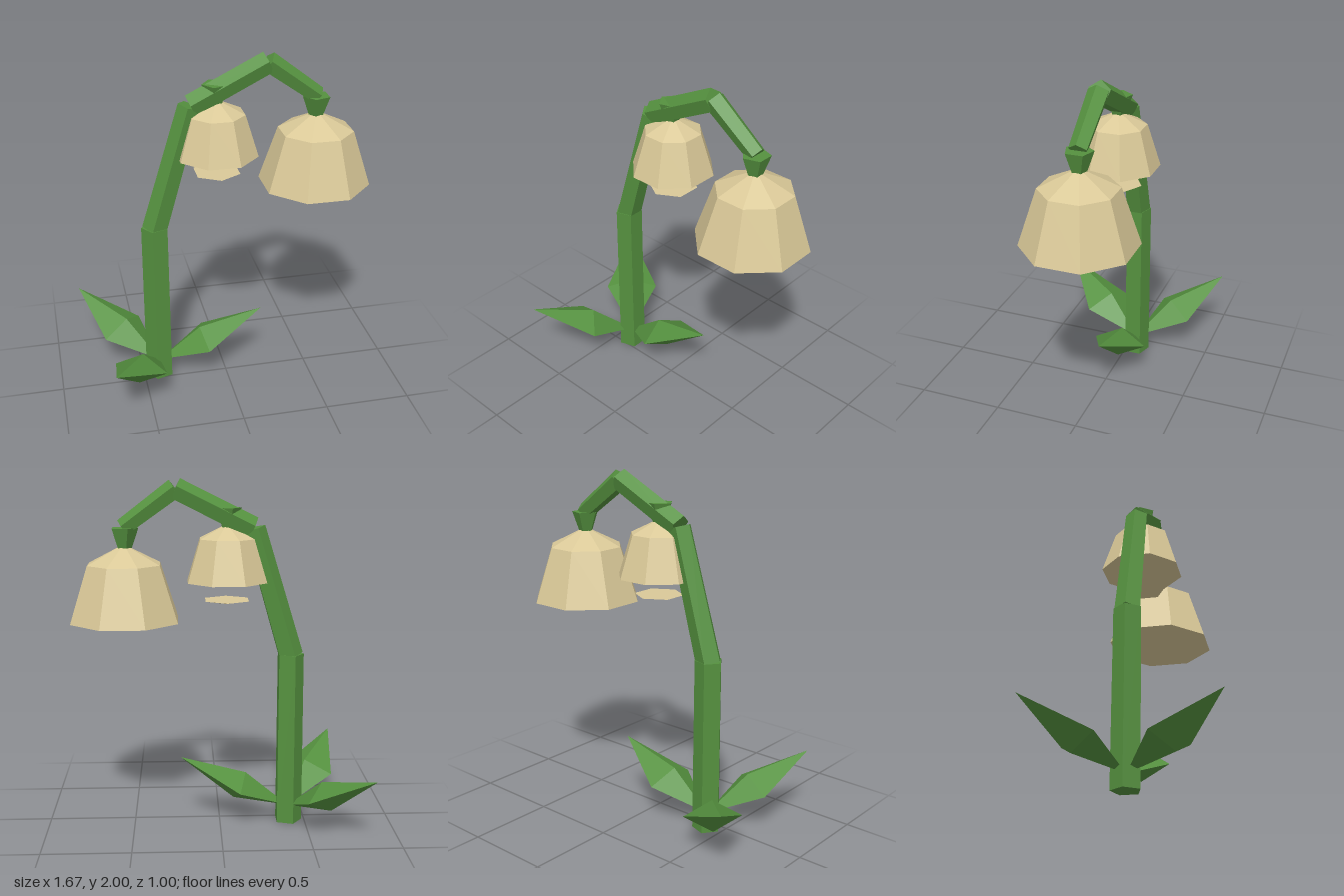
import * as THREE from 'three';

const green = new THREE.MeshStandardMaterial({ color: 0x55913f });
green.name = 'leaf green';
const cream = new THREE.MeshStandardMaterial({ color: 0xdac998 });
cream.name = 'petal cream';

const Z = -0.058; // plane the stem bends in

function mesh(name, geometry, material) {
  const geo = geometry.index ? geometry.toNonIndexed() : geometry;
  geo.computeVertexNormals(); // flat facets
  const m = new THREE.Mesh(geo, material);
  m.name = name;
  return m;
}

// Five-sided tapered prism between two points, with a ridge on its outer side
function segment(name, [x0, y0, r0], [x1, y1, r1]) {
  const dx = x1 - x0, dy = y1 - y0;
  const m = mesh(name, new THREE.CylinderGeometry(r1, r0, Math.hypot(dx, dy), 5, 1, false, -Math.PI / 2), green);
  m.position.set((x0 + x1) / 2, (y0 + y1) / 2, Z);
  m.rotation.z = Math.atan2(dy, dx) - Math.PI / 2;
  return m;
}

// Eight-sided closed bell with a flat side to the front: [radius, y] from bottom to top
function bell(name, x, profile) {
  const points = profile.map(([r, y]) => new THREE.Vector2(r, y));
  const m = mesh(name, new THREE.LatheGeometry(points, 8, Math.PI / 8), cream);
  m.position.set(x, 0, Z);
  return m;
}

// Stretched octahedron: base, tip, upper ridge, keel and two side corners
function leaf(angle) {
  const geo = new THREE.OctahedronGeometry(1);
  const p = geo.attributes.position;
  for (let i = 0; i < p.count; i++) {
    const x = p.getX(i), y = p.getY(i), z = p.getZ(i);
    if (x > 0.5) p.setXYZ(i, 0.63, 0.39, 0);
    else if (x < -0.5) p.setXYZ(i, 0, 0.09, 0);
    else if (y > 0.5) p.setXYZ(i, 0.25, 0.295, 0);
    else if (y < -0.5) p.setXYZ(i, 0.32, 0.14, 0);
    else p.setXYZ(i, 0.285, 0.217, 0.162 * Math.sign(z));
  }
  const m = mesh('leaf', geo, green);
  m.position.set(-0.402, 0, Z);
  m.rotation.y = -angle;
  return m;
}

export function createModel() {
  const group = new THREE.Group();
  group.name = 'bellFlower';

  // Arching stem
  group.add(
    segment('lowerStem', [-0.402, 0, 0.083], [-0.402, 1.01, 0.08]),
    segment('middleStem', [-0.403, 0.998, 0.075], [-0.19, 1.725, 0.066]),
    segment('upperStem', [-0.185, 1.725, 0.066], [0.247, 1.942, 0.065]),
    segment('droopingStem', [0.245, 1.943, 0.06], [0.535, 1.73, 0.052]),
  );

  // Flower caps
  group.add(
    segment('largeFlowerCap', [0.53, 1.62, 0.042], [0.53, 1.73, 0.08]),
    segment('smallFlowerCap', [-0.045, 1.73, 0.038], [-0.045, 1.84, 0.078]),
  );

  // Bells
  group.add(
    bell('largeBell', 0.533, [[0, 1.21], [0.322, 1.21], [0.216, 1.53], [0, 1.64]]),
    bell('smallBell', -0.04, [[0, 1.43], [0.238, 1.43], [0.162, 1.67], [0, 1.75]]),
  );

  // Shallow six-sided clapper below the small bell, point down
  const clapper = mesh('clapper', new THREE.CylinderGeometry(0.14, 0, 0.025, 6), cream);
  clapper.position.set(-0.04, 1.3125, Z);
  group.add(clapper);

  // Leaves round the foot
  for (const degrees of [1.5, 120, 225.7]) group.add(leaf(THREE.MathUtils.degToRad(degrees)));

  return group;
}
